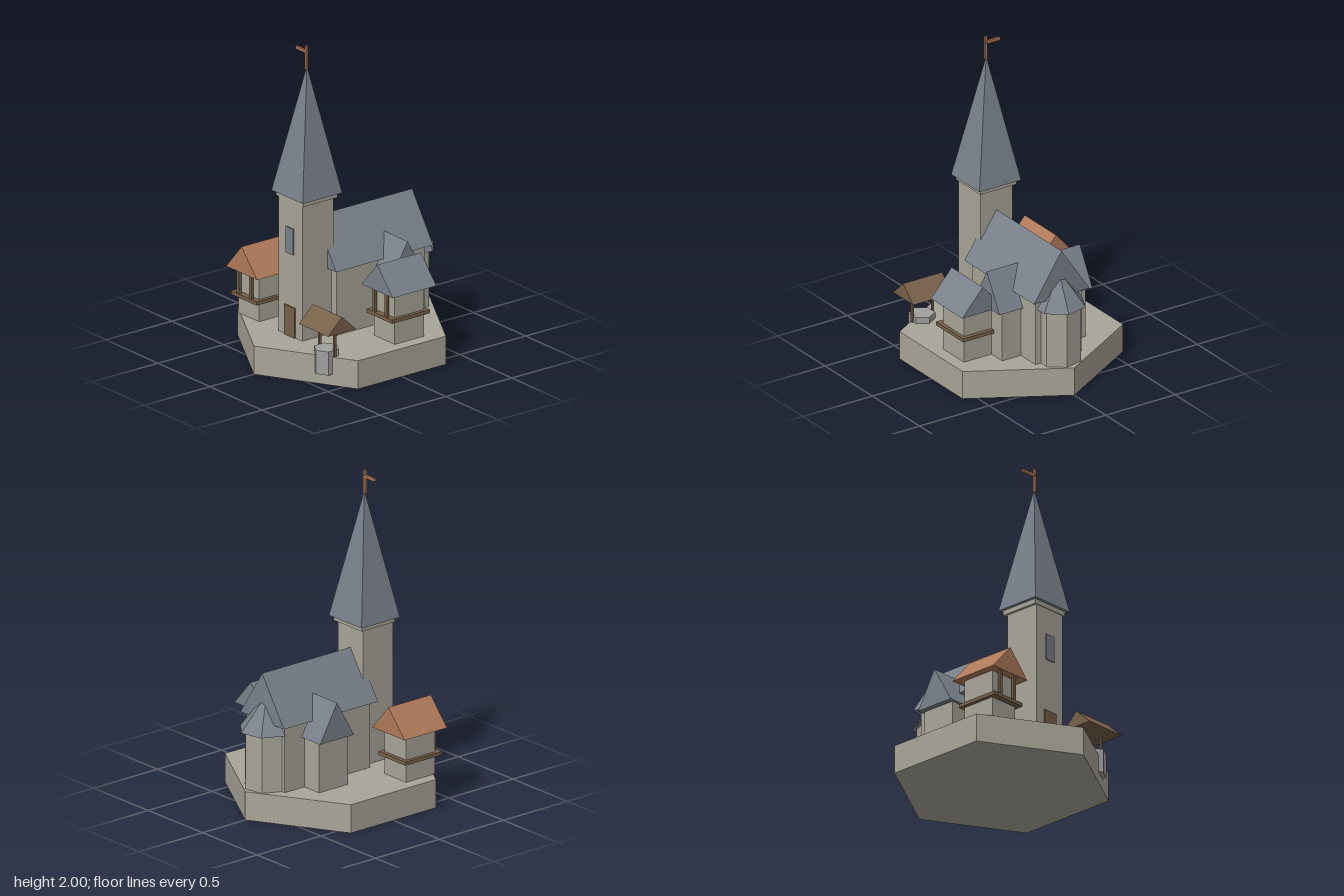
import * as THREE from 'three';

const material = (name, color) => {
  const m = new THREE.MeshStandardMaterial({ color, flatShading: true });
  m.name = name;
  return m;
};

export function createModel() {
  const stone = material('stone', 0xa8a598);
  const slate = material('slate', 0x7a818b);
  const tile = material('clay tile', 0xb07a5a);
  const timber = material('timber', 0x77614a);
  const wellStone = material('well stone', 0xa0a09e);

  const model = new THREE.Group();
  model.name = 'hillChurch';

  const add = (parent, name, geometry, mat, x = 0, y = 0, z = 0) => {
    const mesh = new THREE.Mesh(geometry, mat);
    mesh.name = name;
    mesh.position.set(x, y, z);
    parent.add(mesh);
    return mesh;
  };

  // Box given by its limits on each axis
  const box = (parent, name, mat, [x0, x1], [y0, y1], [z0, z1]) =>
    add(parent, name, new THREE.BoxGeometry(x1 - x0, y1 - y0, z1 - z0), mat,
      (x0 + x1) / 2, (y0 + y1) / 2, (z0 + z1) / 2);

  // Solid gable roof, ridge along z and centred on its own origin
  const gable = (halfWidth, height, length) => {
    const s = new THREE.Shape();
    s.moveTo(-halfWidth, 0);
    s.lineTo(halfWidth, 0);
    s.lineTo(0, height);
    s.closePath();
    return new THREE.ExtrudeGeometry(s, { depth: length, bevelEnabled: false })
      .translate(0, 0, -length / 2);
  };

  // Hexagonal plinth with points at front and back
  add(model, 'plinth', new THREE.CylinderGeometry(0.667, 0.667, 0.18, 6), stone, 0, 0.09, 0);

  // Tower with collar, spire, window, door and weather vane
  const tower = new THREE.Group();
  tower.name = 'tower';
  model.add(tower);
  box(tower, 'towerWalls', stone, [-0.115, 0.115], [0.18, 1.04], [0.155, 0.39]);
  box(tower, 'towerCollar', stone, [-0.13, 0.13], [1.04, 1.07], [0.135, 0.395]);
  add(tower, 'spire',
    new THREE.ConeGeometry(0.15 * Math.SQRT2, 0.8, 4, 1, false, Math.PI / 4), slate, 0, 1.47, 0.265);
  box(tower, 'towerWindow', slate, [-0.035, 0.035], [0.705, 0.87], [0.39, 0.399]);
  box(tower, 'door', timber, [-0.05, 0.05], [0.18, 0.37], [0.39, 0.399]);
  box(tower, 'vanePole', tile, [-0.008, 0.008], [1.85, 2], [0.262, 0.278]);
  box(tower, 'vaneFlag', tile, [-0.1, 0], [1.952, 1.97], [0.258, 0.274]);

  // Nave and the crossing transept
  box(model, 'naveWalls', stone, [-0.165, 0.165], [0.18, 0.6], [-0.5, 0.17]);
  add(model, 'naveRoof', gable(0.2, 0.3, 0.735), slate, 0, 0.6, -0.167);
  box(model, 'transeptWalls', stone, [-0.3, 0.3], [0.18, 0.5], [-0.345, -0.12]);
  add(model, 'transeptRoof', gable(0.133, 0.235, 0.67), slate, 0, 0.5, -0.234)
    .rotation.y = Math.PI / 2;

  // Seven-sided apse at the back
  const turn = Math.PI / 14;
  add(model, 'apseWalls',
    new THREE.CylinderGeometry(0.14, 0.14, 0.36, 7, 1, false, turn), stone, 0, 0.36, -0.5);
  add(model, 'apseRoof',
    new THREE.ConeGeometry(0.17, 0.22, 7, 1, false, turn), slate, 0, 0.65, -0.5);

  // Two cottages with a timber band and front posts
  const cottage = (name, x, z, eaves, roofMaterial) => {
    const house = new THREE.Group();
    house.name = name;
    house.position.set(x, 0, z);
    model.add(house);
    box(house, 'walls', stone, [-0.1, 0.1], [0.18, eaves], [-0.112, 0.112]);
    box(house, 'timberBand', timber, [-0.123, 0.123], [eaves - 0.175, eaves - 0.152], [-0.138, 0.15]);
    for (const side of [-1, 1]) {
      const px = side * 0.059;
      box(house, 'frontPost', timber, [px - 0.011, px + 0.011], [eaves - 0.153, eaves], [0.13, 0.148]);
    }
    add(house, 'roof', gable(0.149, 0.168, 0.332), roofMaterial, 0, eaves, 0);
  };
  cottage('slateCottage', 0.398, -0.12, 0.502, slate);
  cottage('tileCottage', -0.4, 0.278, 0.473, tile);

  // Covered well on the plinth edge
  const well = new THREE.Group();
  well.name = 'well';
  well.position.set(0.367, 0, 0.4);
  model.add(well);
  add(well, 'wellRing', new THREE.CylinderGeometry(0.08, 0.08, 0.15, 6), wellStone, 0, 0.145, 0.006);
  for (const side of [-1, 1]) {
    const px = side * 0.073;
    box(well, 'wellPost', timber, [px - 0.007, px + 0.007], [0.18, 0.36], [-0.007, 0.007]);
  }
  add(well, 'wellRoof', gable(0.107, 0.1, 0.28), timber, 0, 0.352, -0.002).rotation.y = Math.PI / 2;

  return model;
}
